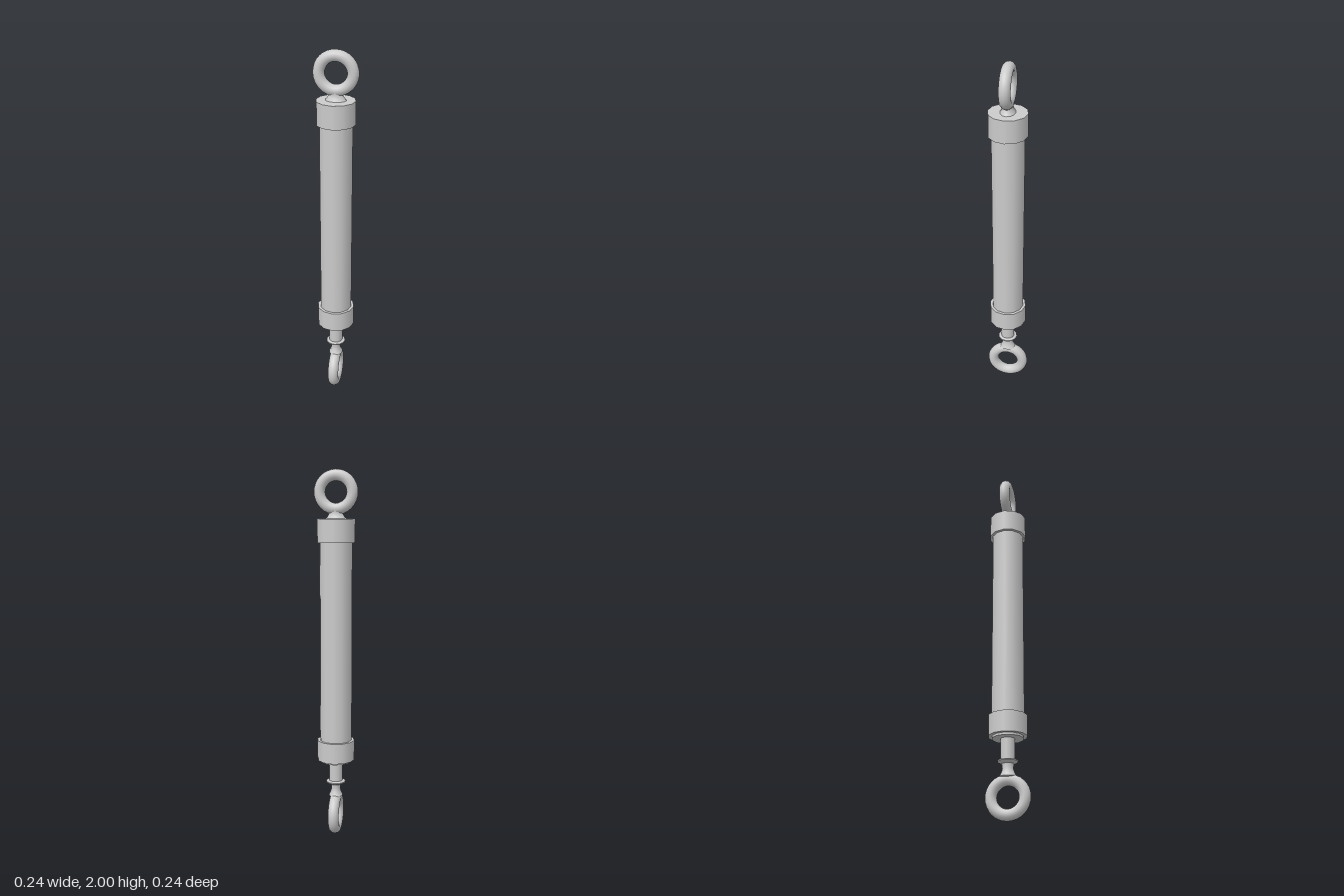
import * as THREE from 'three';
import { toCreasedNormals } from 'three/addons/utils/BufferGeometryUtils.js';

const SIDES = 12;
const material = new THREE.MeshStandardMaterial({ color: 0xcccccc });

function part(name, geometry) {
  const mesh = new THREE.Mesh(geometry, material);
  mesh.name = name;
  return mesh;
}

// Solid of revolution from [radius, y] points, bottom to top
function turned(name, points, sides = SIDES, stretchZ = 1) {
  const profile = points.map(([r, y]) => new THREE.Vector2(r, y));
  const geometry = new THREE.LatheGeometry(profile, sides).scale(1, 1, stretchZ);
  return part(name, toCreasedNormals(geometry, 0.7));
}

function cylinder(name, radius, bottom, top) {
  const geometry = new THREE.CylinderGeometry(radius, radius, top - bottom, SIDES);
  return part(name, geometry.translate(0, (top + bottom) / 2, 0));
}

// Ring standing upright, facing z
function eye(name, y) {
  const ring = part(name, new THREE.TorusGeometry(0.0875, 0.0305, 12, 32));
  ring.position.y = y;
  return ring;
}

export function createModel() {
  const model = new THREE.Group();
  model.name = 'cylinderWithEyes';

  // Barrel with a collar at each end
  model.add(
    cylinder('barrel', 0.088, 0.5, 1.66),
    cylinder('upperCollar', 0.103, 1.62, 1.744),
    cylinder('lowerCollar', 0.103, 0.43, 0.542),
    cylinder('rodSeal', 0.083, 0.418, 0.435),
  );

  // Upper eye on a flared neck
  model.add(
    eye('upperEye', 1.882),
    turned('upperNeck', [[0.056, 1.742], [0.044, 1.758], [0.036, 1.775], [0.04, 1.79], [0, 1.8]], SIDES, 0.74),
  );

  // Sliding rod with a thin flange
  model.add(
    cylinder('rod', 0.038, 0.3, 0.43),
    turned('rodFlange', [[0, 0.286], [0.034, 0.288], [0.054, 0.298], [0.054, 0.304], [0.036, 0.31], [0, 0.31]]),
  );

  // Lower eye, turned a quarter so it faces sideways
  const lowerEnd = new THREE.Group();
  lowerEnd.name = 'lowerEnd';
  lowerEnd.add(
    eye('lowerEye', 0.118),
    turned('lowerNeck', [[0, 0.2], [0.046, 0.222], [0.036, 0.24], [0.029, 0.262], [0.033, 0.292]], SIDES, 0.85),
  );
  lowerEnd.rotation.y = Math.PI / 2;
  model.add(lowerEnd);

  return model;
}
